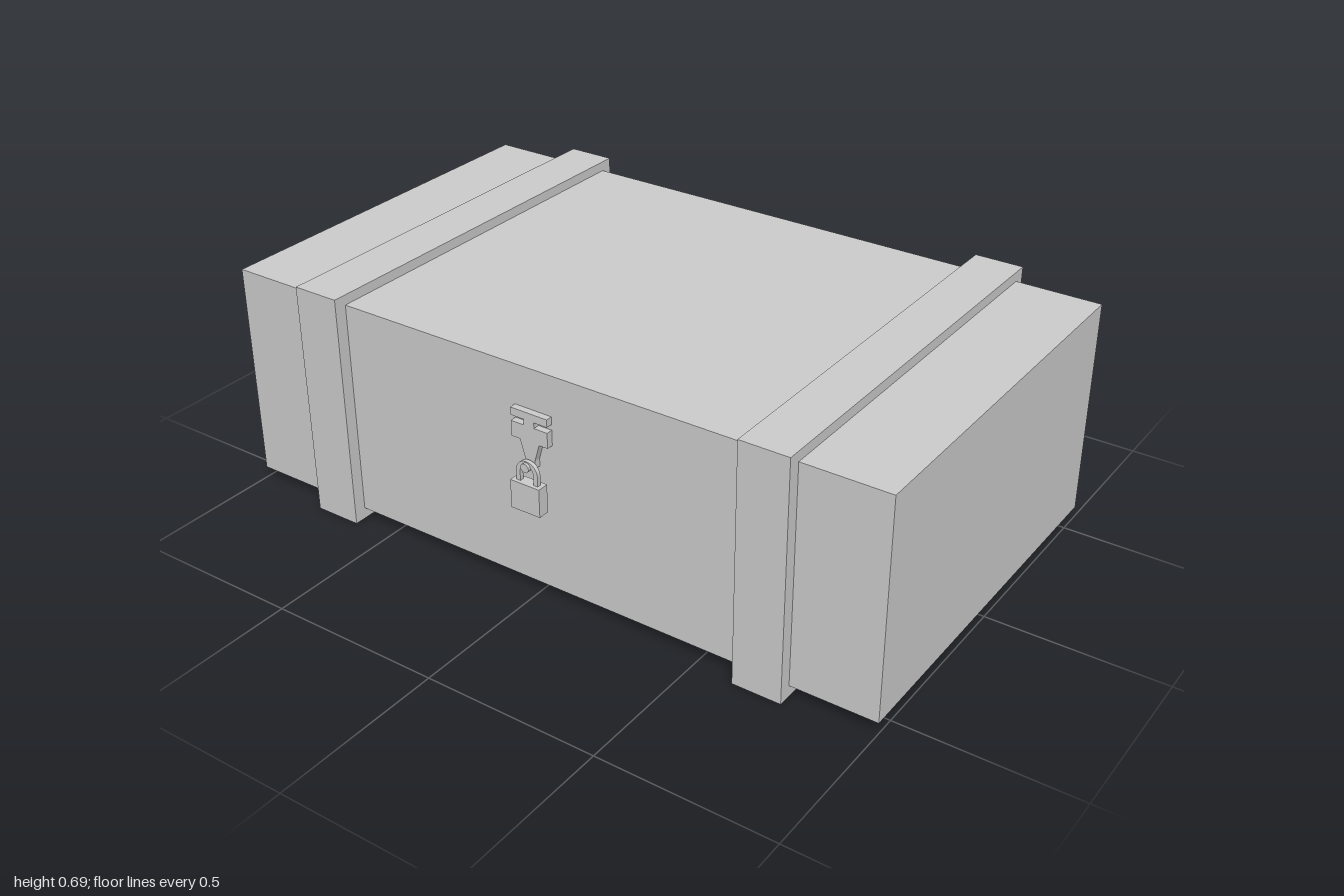
import * as THREE from 'three';

const material = new THREE.MeshStandardMaterial({ color: 0xcccccc, flatShading: true });

function part(name, geometry, x, y, z, parent) {
  const mesh = new THREE.Mesh(geometry, material);
  mesh.name = name;
  mesh.position.set(x, y, z);
  parent.add(mesh);
  return mesh;
}

// Outline mirrored about x = 0, given as its right half from top to bottom
function mirroredShape(half) {
  const left = half.map(([x, y]) => [-x, y]).reverse();
  return new THREE.Shape([...half, ...left].map(([x, y]) => new THREE.Vector2(x, y)));
}

function extrude(shape, depth) {
  return new THREE.ExtrudeGeometry(shape, { depth, bevelEnabled: false, curveSegments: 10 });
}

export function createModel() {
  const model = new THREE.Group();
  model.name = 'crate';

  // Main body and the two bands wrapped around it
  part('crateBody', new THREE.BoxGeometry(2, 0.627, 1.128), 0, 0.346, -0.003, model);
  for (const side of [-1, 1]) {
    part(side < 0 ? 'rightBand' : 'leftBand',
      new THREE.BoxGeometry(0.139, 0.688, 1.201), side * 0.687, 0.344, -0.003, model);
  }

  const lock = new THREE.Group();
  lock.name = 'lock';
  model.add(lock);

  // Hasp plate with a slot in each side and a tapered tongue
  const hasp = mirroredShape([
    [0.057, 0.545], [0.057, 0.523], [0.016, 0.523], [0.016, 0.507],
    [0.057, 0.507], [0.057, 0.463], [0.03, 0.463], [0.015, 0.412],
    [0.015, 0.39],
  ]);
  part('haspPlate', extrude(hasp, 0.02), 0, 0, 0.56, lock);

  // Staple that the shackle passes through
  const staple = part('staple', new THREE.CylinderGeometry(0.013, 0.013, 0.044, 12), 0, 0.398, 0.582, lock);
  staple.rotation.x = Math.PI / 2;

  // Padlock shackle
  const shackle = new THREE.Shape();
  shackle.moveTo(0.034, 0.345);
  shackle.lineTo(0.034, 0.38);
  shackle.absarc(0, 0.38, 0.034, 0, Math.PI, false);
  shackle.lineTo(-0.034, 0.345);
  shackle.lineTo(-0.021, 0.345);
  shackle.lineTo(-0.021, 0.38);
  shackle.absarc(0, 0.38, 0.021, Math.PI, 0, true);
  shackle.lineTo(0.021, 0.345);
  part('shackle', extrude(shackle, 0.012), 0, 0, 0.584, lock);

  // Padlock body
  part('padlockBody', new THREE.BoxGeometry(0.091, 0.082, 0.033), 0, 0.311, 0.59, lock);

  return model;
}
